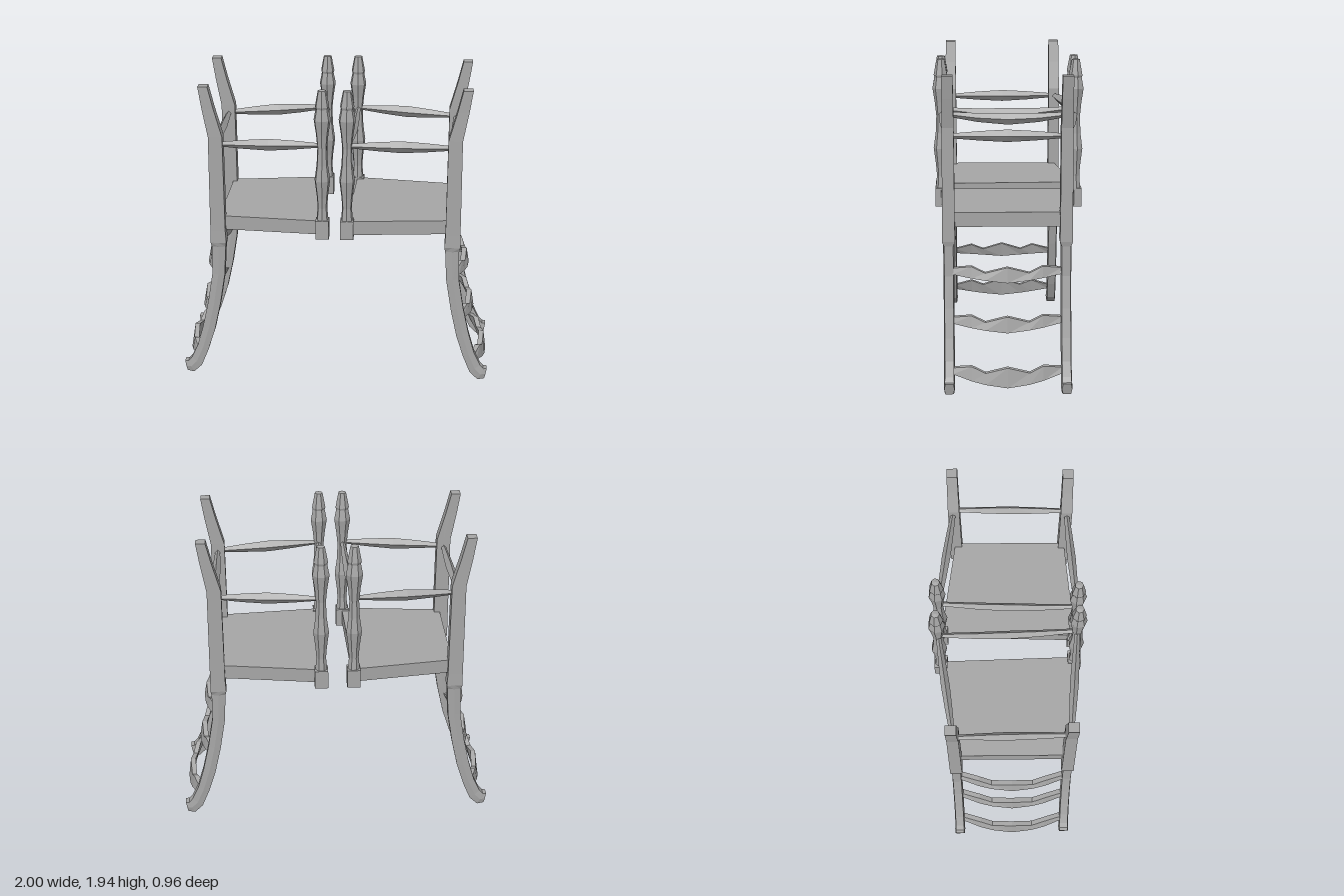
import * as THREE from 'three';

const material = new THREE.MeshStandardMaterial({ color: 0xa6a6a6 });
material.name = 'plain grey';

const V = (x, y, z) => new THREE.Vector3(x, y, z);

// Faceted solid through a row of rings of equal point count, capped at both ends
function loft(name, rings) {
  const tris = [];
  const n = rings[0].length;
  for (let i = 0; i < rings.length - 1; i++) {
    for (let j = 0; j < n; j++) {
      const k = (j + 1) % n;
      const a = rings[i][j], b = rings[i][k], c = rings[i + 1][k], d = rings[i + 1][j];
      tris.push([a, b, c], [a, c, d]);
    }
  }
  const last = rings[rings.length - 1];
  for (let j = 1; j < n - 1; j++) {
    tris.push([rings[0][0], rings[0][j + 1], rings[0][j]], [last[0], last[j], last[j + 1]]);
  }
  // Turn all faces outward, also for mirrored parts
  let volume = 0;
  for (const [a, b, c] of tris) volume += a.dot(b.clone().cross(c));
  const points = tris.flatMap(t => (volume < 0 ? [t[0], t[2], t[1]] : t));
  const geometry = new THREE.BufferGeometry().setFromPoints(points);
  geometry.computeVertexNormals();
  const mesh = new THREE.Mesh(geometry, material);
  mesh.name = name;
  return mesh;
}

// Leg sections: x, y, half width, half depth, ridge, tilt in degrees
const LEG = [
  [0.818, 1.94, 0.03, 0.033, 0, 0],
  [0.79, 1.8, 0.036, 0.034, 0, 0],
  [0.748, 1.62, 0.044, 0.036, 0, 0],
  [0.747, 1.0, 0.047, 0.038, 0, 0],
  [0.745, 0.92, 0.05, 0.04, 0, 0],
  [0.745, 0.89, 0.044, 0.028, 0.006, 0],
  [0.752, 0.7, 0.04, 0.027, 0.006, 5],
  [0.785, 0.5, 0.04, 0.027, 0.006, 10],
  [0.825, 0.32, 0.04, 0.027, 0.006, 14],
  [0.868, 0.18, 0.038, 0.027, 0.006, 22],
  [0.912, 0.08, 0.042, 0.027, 0.006, 40],
  [0.95, 0.042, 0.042, 0.029, 0.006, 65],
  [0.983, 0.045, 0.035, 0.025, 0.006, 78],
];

function leg(name, s, z, shift) {
  return loft(name, LEG.map(([x, y, a, b, r, deg]) => {
    const t = THREE.MathUtils.degToRad(deg);
    const p = (u, w) => V(s * (x + shift + u * Math.cos(t)), y + u * Math.sin(t), z + w);
    return [p(-a, -b), p(0, -b - r), p(a, -b), p(a, b), p(0, b + r), p(-a, b)];
  }));
}

// Rail with a diamond section that swells in the middle
function rail(name, from, to, sag = 0) {
  const side = to.clone().sub(from).setY(0).normalize().cross(V(0, 1, 0));
  const sections = [[0, 0.013], [0.27, 0.029], [0.5, 0.038], [0.73, 0.029], [1, 0.013]];
  return loft(name, sections.map(([t, h]) => {
    const c = from.clone().lerp(to, t);
    c.y -= sag * Math.sin(Math.PI * t);
    const w = 0.008 + h * 0.5;
    return [
      V(c.x, c.y + h, c.z), c.clone().addScaledVector(side, w),
      V(c.x, c.y - h, c.z), c.clone().addScaledVector(side, -w),
    ];
  }));
}

// Wavy ladder rung that bows outward: position along, top, bottom, bow
const RUNG = [
  [-1, 0.025, -0.01, 0], [-0.65, 0.045, -0.025, 0.04], [-0.4, 0.008, -0.035, 0.058],
  [0, 0.045, -0.048, 0.07],
  [0.4, 0.008, -0.035, 0.058], [0.65, 0.045, -0.025, 0.04], [1, 0.025, -0.01, 0],
];

function rung(name, s, x, y, drop) {
  return loft(name, RUNG.map(([t, top, bottom, bow]) => {
    const z = 0.02 + t * 0.335;
    const cx = x + bow;
    const low = y + bottom - drop * (1 - t * t);
    return [
      V(s * (cx - 0.024), y + top, z), V(s * (cx + 0.008), y + top, z),
      V(s * (cx + 0.024), low, z), V(s * (cx - 0.008), low, z),
    ];
  }));
}

// Turned post on a square block
const POST = [
  [0, 1.05], [0.04, 1.08], [0.031, 1.18], [0.036, 1.25], [0.05, 1.36], [0.036, 1.46],
  [0.031, 1.57], [0.04, 1.66], [0.054, 1.75], [0.04, 1.82], [0.045, 1.835],
  [0.026, 1.935], [0, 1.94],
].map(([r, y]) => new THREE.Vector2(r, y));

function post(name, x, z) {
  const group = new THREE.Group();
  group.name = name;
  const block = new THREE.Mesh(new THREE.BoxGeometry(0.084, 0.12, 0.084), material);
  block.name = 'postBlock';
  block.position.y = 1.04;
  const lathe = new THREE.LatheGeometry(POST, 7).toNonIndexed();
  lathe.computeVertexNormals();
  const shaft = new THREE.Mesh(lathe, material);
  shaft.name = 'postShaft';
  group.add(block, shaft);
  group.position.set(x, 0, z);
  return group;
}

// One half: platform, two legs, two posts, rails and ladder rungs
function half(name, s) {
  const group = new THREE.Group();
  group.name = name;
  const corners = [[0.735, -0.345], [0.735, 0.375], [0.075, 0.435], [0.1, -0.435]];
  group.add(loft('platform', [1.0, 1.09].map(y => corners.map(([x, z]) => V(s * x, y, z)))));

  group.add(leg('frontLeg', s, 0.375, -0.004));
  group.add(leg('backLeg', s, -0.34, 0.008));
  group.add(post('frontPost', s * 0.077, 0.427));
  group.add(post('backPost', s * 0.102, -0.435));

  const frontLegTop = V(s * 0.745, 1.565, 0.375), backLegTop = V(s * 0.755, 1.565, -0.34);
  const frontPostTop = V(s * 0.08, 1.585, 0.427), backPostTop = V(s * 0.105, 1.585, -0.432);
  group.add(rail('frontRail', frontLegTop, frontPostTop));
  group.add(rail('backRail', backLegTop, backPostTop));
  group.add(rail('outerRail', frontLegTop, backLegTop));
  group.add(rail('innerRail', frontPostTop, backPostTop, 0.035));

  [[0.765, 0.725, 0], [0.805, 0.425, 0.005], [0.895, 0.13, 0.03]].forEach(([x, y, drop], i) =>
    group.add(rung('rung' + (i + 1), s, x, y, drop)));
  return group;
}

export function createModel() {
  const model = new THREE.Group();
  model.name = 'splitLadderPlatform';
  model.add(half('leftHalf', 1), half('rightHalf', -1));
  return model;
}
